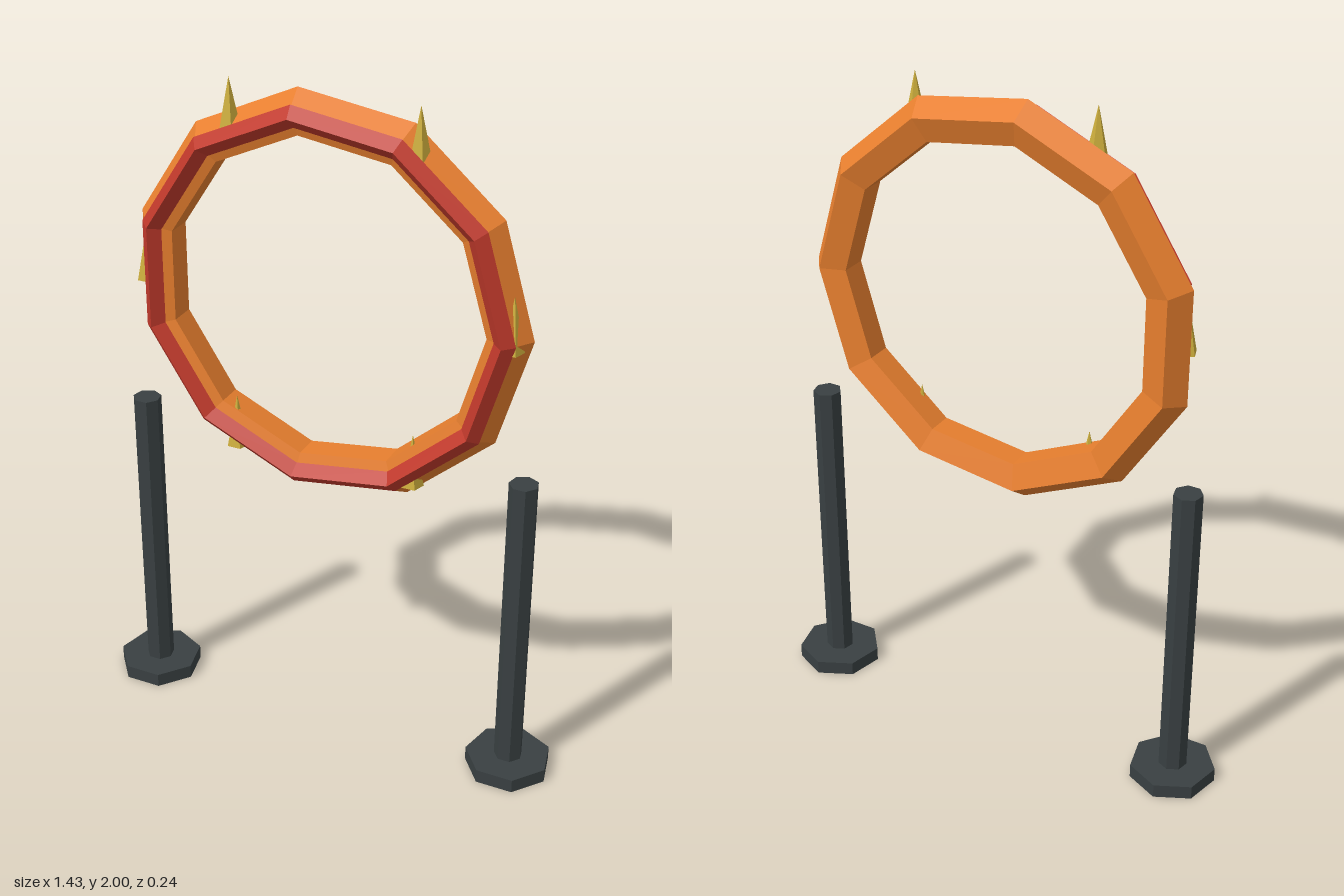
import * as THREE from 'three';

const flat = (name, color) => {
  const m = new THREE.MeshStandardMaterial({ color, flatShading: true });
  m.name = name;
  return m;
};

export function createModel() {
  const group = new THREE.Group();
  group.name = 'spikedHoop';
  const orange = flat('orange', 0xe67e2e);
  const red = flat('red', 0xc0392b);
  const iron = flat('darkIron', 0x394042);
  const gold = flat('gold', 0xcdae3c);
  const Z = 0.006; // depth of the hoop plane
  const hoopY = 1.397;

  const add = (name, geometry, material, x, y, z) => {
    const mesh = new THREE.Mesh(geometry, material);
    mesh.name = name;
    mesh.position.set(x, y, z);
    group.add(mesh);
    return mesh;
  };

  // Posts with round feet, one on each side
  const foot = new THREE.CylinderGeometry(0.127, 0.127, 0.042, 7).rotateY(Math.PI);
  const post = new THREE.CylinderGeometry(0.042, 0.042, 0.926, 7).rotateY(Math.PI);
  for (const [side, s] of [['left', 1], ['right', -1]]) {
    add(side + 'Foot', foot, iron, s * 0.592, 0.021, Z);
    add(side + 'Post', post, iron, s * 0.592, 0.504, Z);
  }

  // Main hoop and the thinner band set into its front
  add('hoop', new THREE.TorusGeometry(0.532, 0.066, 5, 11), orange, 0, hoopY, Z);
  add('frontBand', new THREE.TorusGeometry(0.535, 0.031, 4, 11), red, 0, hoopY, 0.06);

  // Six upright spikes spaced around the hoop
  const spike = new THREE.ConeGeometry(0.034, 0.158, 5).rotateY(Math.PI);
  for (let i = 0; i < 6; i++) {
    const a = (i * Math.PI) / 3;
    add('spike' + (i + 1), spike, gold, 0.547 * Math.cos(a), 1.449 + 0.544 * Math.sin(a), 0.034);
  }
  return group;
}
